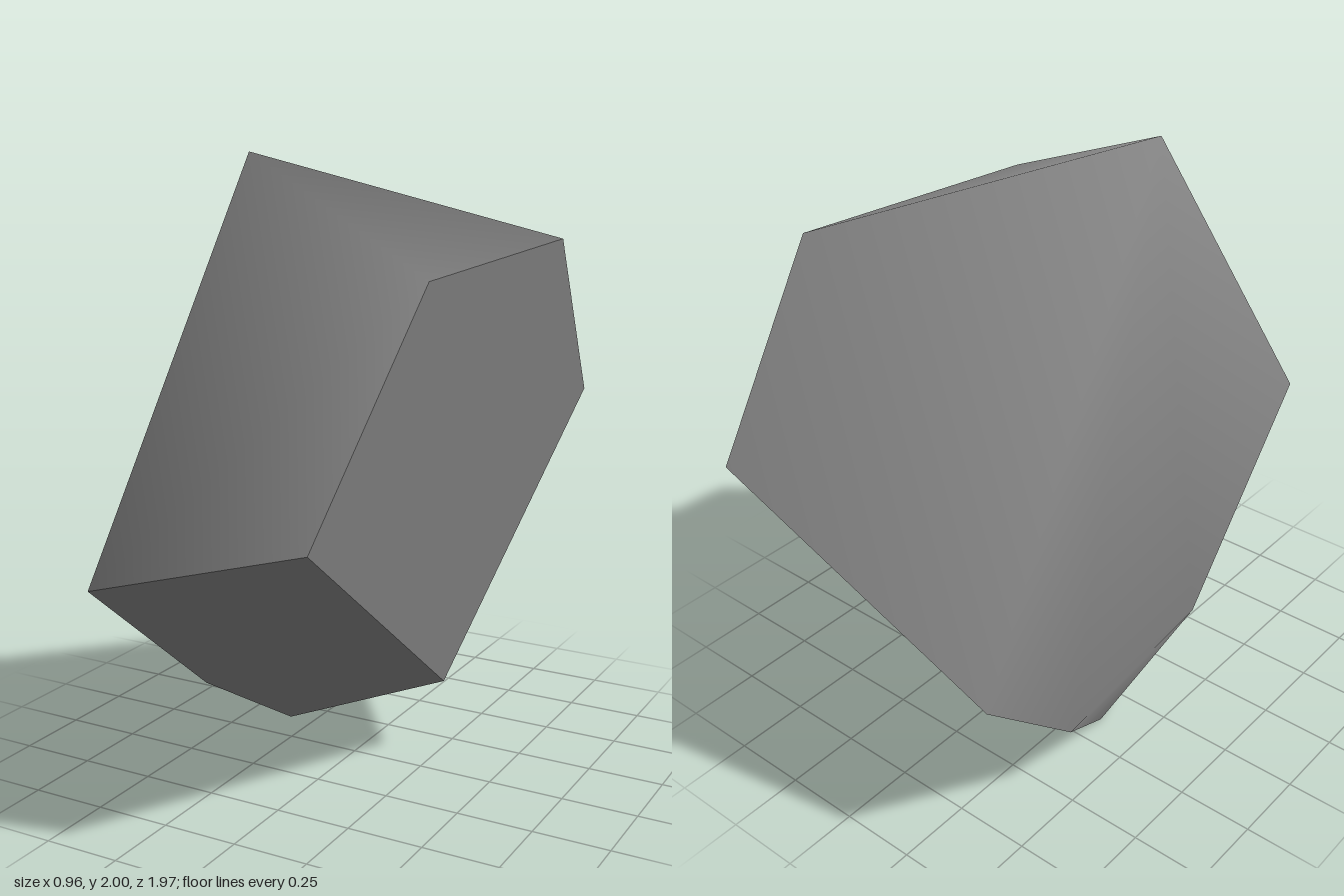
import * as THREE from 'three';

// Corner points of the boulder
const P = {
  peak: [-0.31, 2.0, 0.12], nose: [-0.32, 0.81, 0.985], foot: [-0.34, 0, -0.145],
  tail: [-0.48, 0.61, -0.87], heelBack: [-0.475, 0.26, -0.48], heelFront: [-0.42, 0.26, 0.265],
  sideFront: [0.32, 0.97, 0.85], sideLow: [0.27, 0.26, -0.13], sideBack: [0.42, 1.13, -0.985],
  sideTopBack: [0.48, 1.71, -0.56], sideTopFront: [0.43, 1.66, 0.35],
};

// Worn shell: rounded shading runs across all of these faces
const shell = [
  ['nose', 'sideFront', 'sideTopFront'],
  ['nose', 'sideTopFront', 'peak'],
  ['peak', 'sideTopFront', 'sideTopBack'],
  ['tail', 'peak', 'sideTopBack', 'sideBack'],
  ['peak', 'tail', 'heelBack', 'heelFront', 'nose'],
  ['heelBack', 'foot', 'heelFront'],
];

// Broken faces: each one flat with sharp edges
const cuts = {
  sideCut: ['sideFront', 'sideLow', 'sideBack', 'sideTopBack', 'sideTopFront'],
  lowerFrontCut: ['nose', 'heelFront', 'foot', 'sideLow', 'sideFront'],
  lowerBackCut: ['sideBack', 'sideLow', 'foot', 'heelBack', 'tail'],
};

// Fans polygons into triangles; normals are shared per corner, weighted by angle
function facesGeometry(faces) {
  const tris = [];
  for (const f of faces) {
    for (let i = 1; i < f.length - 1; i++) tris.push([f[0], f[i], f[i + 1]]);
  }
  const point = (k) => new THREE.Vector3(...P[k]);
  const sums = {};
  for (const t of tris) {
    const v = t.map(point);
    const n = new THREE.Triangle(...v).getNormal(new THREE.Vector3());
    t.forEach((k, i) => {
      const a = v[(i + 1) % 3].clone().sub(v[i]);
      const b = v[(i + 2) % 3].clone().sub(v[i]);
      (sums[k] ??= new THREE.Vector3()).addScaledVector(n, a.angleTo(b));
    });
  }
  const keys = tris.flat();
  const geo = new THREE.BufferGeometry();
  geo.setAttribute('position', new THREE.Float32BufferAttribute(keys.flatMap((k) => P[k]), 3));
  geo.setAttribute('normal', new THREE.Float32BufferAttribute(
    keys.flatMap((k) => sums[k].clone().normalize().toArray()), 3));
  return geo;
}

export function createModel() {
  const group = new THREE.Group();
  group.name = 'boulder';
  const stone = new THREE.MeshStandardMaterial({ color: 0x808080 });
  stone.name = 'grey stone';

  const add = (name, faces) => {
    const mesh = new THREE.Mesh(facesGeometry(faces), stone);
    mesh.name = name;
    group.add(mesh);
  };
  add('wornShell', shell);
  for (const [name, face] of Object.entries(cuts)) add(name, [face]);
  return group;
}
